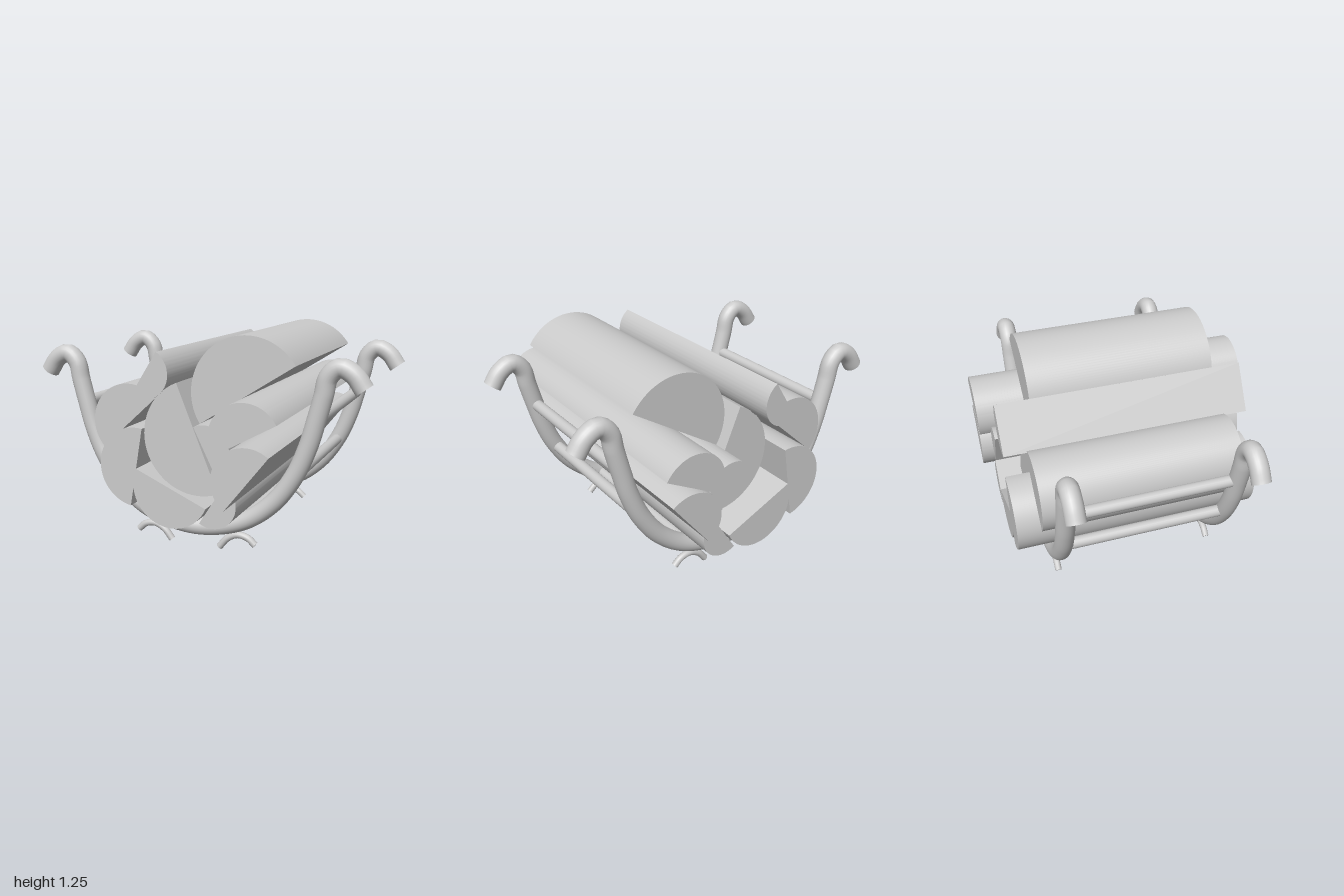
import * as THREE from 'three';
import { toCreasedNormals } from 'three/addons/utils/BufferGeometryUtils.js';

const material = new THREE.MeshStandardMaterial({ color: 0xcccccc });
const FRAME_Z = [0.408, -0.557];

function addMesh(parent, geometry, name) {
  const mesh = new THREE.Mesh(geometry, material);
  mesh.name = name;
  parent.add(mesh);
  return mesh;
}

// Round bar along a curve, closed with flat discs at both ends
function cappedTube(points, radius, segments, sides, name) {
  const curve = new THREE.CatmullRomCurve3(points.map(([x, y]) => new THREE.Vector3(x, y, 0)));
  const group = new THREE.Group();
  group.name = name;
  addMesh(group, new THREE.TubeGeometry(curve, segments, radius, sides), name + 'Bar');
  for (const t of [0, 1]) {
    const cap = addMesh(group, new THREE.CircleGeometry(radius, sides), name + 'End');
    const end = curve.getPointAt(t);
    const outward = curve.getTangentAt(t).multiplyScalar(t ? 1 : -1);
    cap.position.copy(end);
    cap.quaternion.setFromUnitVectors(new THREE.Vector3(0, 0, 1), outward);
  }
  return group;
}

// Split log: half disc on the chord p-q (counter-clockwise arc), from z0 to z1
function splitLog([px, py], [qx, qy], z0, z1) {
  const cx = (px + qx) / 2, cy = (py + qy) / 2;
  const radius = Math.hypot(px - qx, py - qy) / 2;
  const start = Math.atan2(py - cy, px - cx);
  const shape = new THREE.Shape();
  shape.absarc(cx, cy, radius, start, start + Math.PI, false);
  shape.closePath();
  const geometry = new THREE.ExtrudeGeometry(shape, { depth: z1 - z0, bevelEnabled: false, curveSegments: 32 });
  geometry.translate(0, 0, z0);
  return toCreasedNormals(geometry, 0.6);
}

export function createModel() {
  const model = new THREE.Group();
  model.name = 'logHolder';

  // Curved cradle frames with hooked ends
  const half = [[-0.955, 0.98], [-0.9, 1.055], [-0.825, 1.09], [-0.765, 1.04], [-0.742, 0.94],
    [-0.707, 0.805], [-0.663, 0.65], [-0.592, 0.485], [-0.47, 0.315], [-0.29, 0.185]];
  const mirrored = half.map(([x, y]) => [-x, y]).reverse();
  const framePath = [...half, [0, 0.123], ...mirrored];

  // Small arched feet under each frame
  const footPath = [[0.37, 0.052], [0.325, 0.089], [0.262, 0.1], [0.2, 0.07], [0.152, 0.014]];

  for (const z of FRAME_Z) {
    const frame = cappedTube(framePath, 0.053, 120, 24, 'frame');
    frame.position.z = z;
    model.add(frame);
    for (const side of [1, -1]) {
      const foot = cappedTube(footPath.map(([x, y]) => [x * side, y]), 0.02, 24, 12, 'foot');
      foot.position.z = z;
      model.add(foot);
    }
  }

  // Cross rods joining the two frames
  const length = FRAME_Z[0] - FRAME_Z[1];
  const rodGeometry = new THREE.CylinderGeometry(0.034, 0.034, length, 20).rotateX(Math.PI / 2);
  for (const [x, y] of [[0.707, 0.805], [0.592, 0.485], [0.29, 0.19], [0, 0.118],
    [-0.29, 0.19], [-0.592, 0.485], [-0.707, 0.805]]) {
    addMesh(model, rodGeometry, 'crossRod').position.set(x, y, (FRAME_Z[0] + FRAME_Z[1]) / 2);
  }

  // Stack of split logs
  const logs = new THREE.Group();
  logs.name = 'logs';
  model.add(logs);
  for (const [name, p, q, z0, z1] of [
    ['topLog', [0.634, 1.107], [0.1, 0.765], -0.57, 0.56],
    ['middleLog', [0, 0.995], [0.24, 0.407], -0.64, 0.64],
    ['upperLeftLog', [0.634, 0.86], [0.297, 0.674], -0.86, 0.855],
    ['lowerLeftLog', [0.596, 0.695], [0.361, 0.396], -0.86, 0.855],
    ['smallMiddleLog', [0.227, 0.508], [0.1, 0.765], -0.79, 0.645],
    ['smallBottomLog', [0.131, 0.23], [0.28, 0.465], -0.79, 0.645],
    ['bottomLog', [-0.254, 0.497], [0.168, 0.315], -0.79, 0.645],
    ['lowerRightLog', [-0.211, 0.727], [-0.291, 0.278], -0.79, 0.645],
    ['upperRightLog', [-0.2, 0.872], [-0.537, 0.567], -0.66, 0.505],
    ['smallTopLog', [-0.27, 0.914], [-0.115, 1.155], -0.79, 0.645],
  ]) addMesh(logs, splitLog(p, q, z0, z1), name);

  return model;
}
